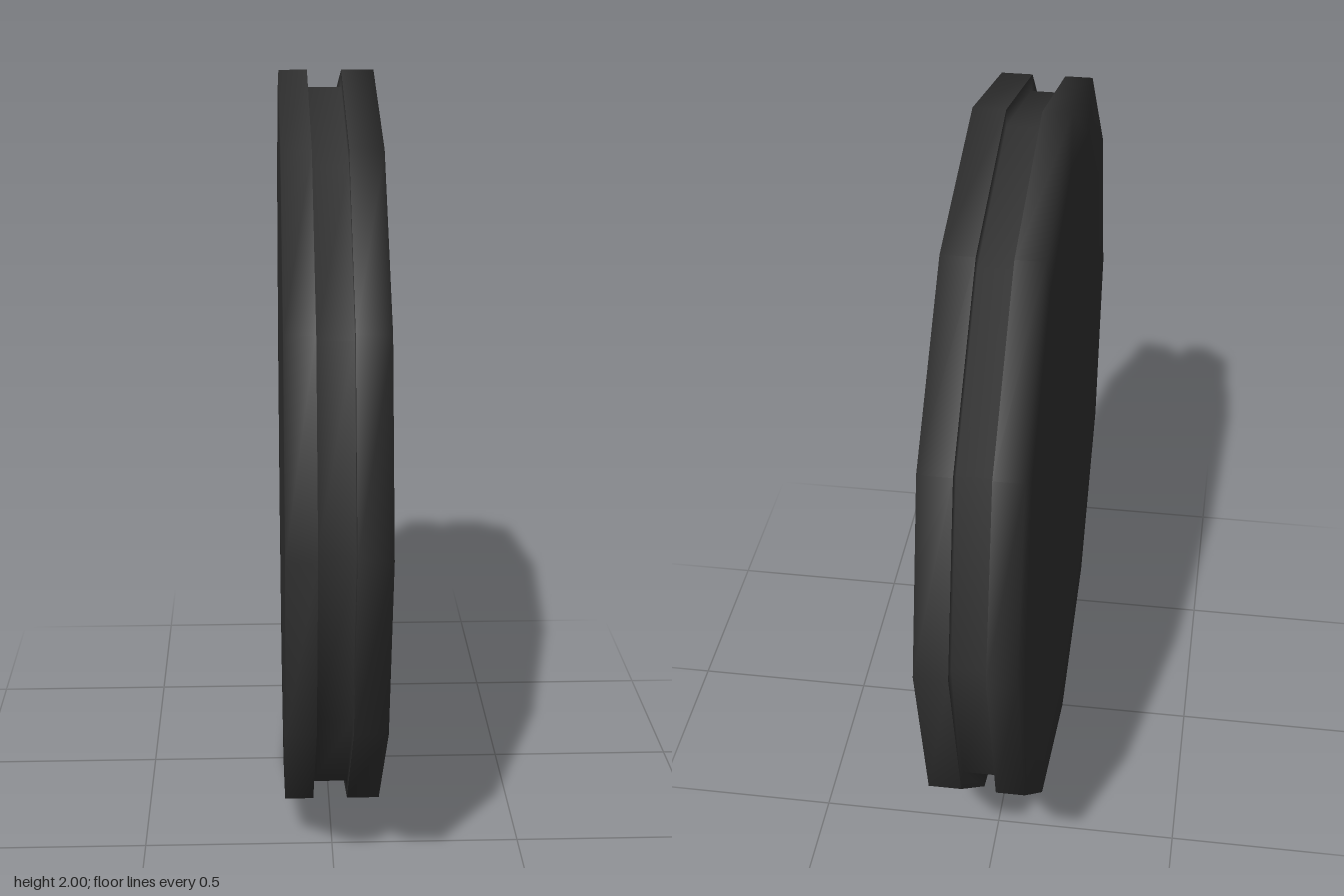
import * as THREE from 'three';

const SIDES = 12;

// Twelve-sided solid of revolution; the profile's [radius, x] pairs run from -x to +x.
function turned(name, profile, material) {
  const points = profile.map(([r, x]) => new THREE.Vector2(r, x));
  const geometry = new THREE.LatheGeometry(points, SIDES);
  geometry.rotateZ(-Math.PI / 2);
  const mesh = new THREE.Mesh(geometry, material);
  mesh.name = name;
  return mesh;
}

export function createModel() {
  const model = new THREE.Group();
  model.name = 'groovedWheel';

  const rubber = new THREE.MeshStandardMaterial({ color: 0x333333 });
  rubber.name = 'dark grey';

  const half = 0.125, faceR = 0.85, rimR = 1, grooveR = 0.955;
  const grooveRight = -0.05, grooveLeft = 0.04;

  // Side faces running softly over the edge into the rim
  model.add(turned('rightFlange', [[0, -half], [faceR, -half], [rimR, -half], [rimR, grooveRight]], rubber));
  model.add(turned('leftFlange', [[rimR, grooveLeft], [rimR, half], [faceR, half], [0, half]], rubber));

  // Shallow channel between the two flanges
  model.add(turned('groove', [[rimR, grooveRight], [grooveR, grooveRight], [grooveR, grooveLeft], [rimR, grooveLeft]], rubber));

  model.position.y = 1;
  const root = new THREE.Group();
  root.name = 'wheel';
  root.add(model);
  return root;
}
